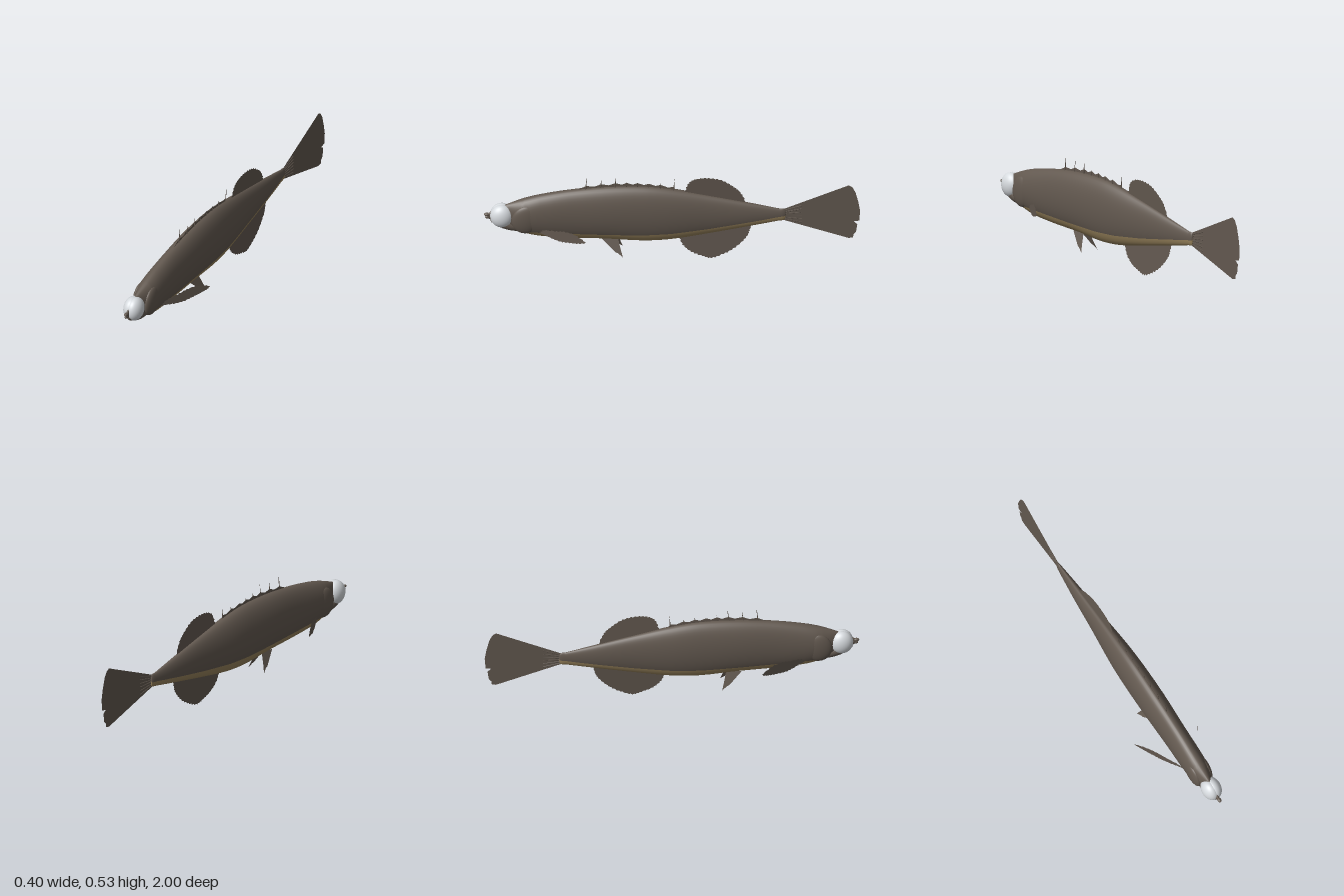
import * as THREE from 'three';

const mat = (name, color, side = THREE.FrontSide) => {
  const m = new THREE.MeshStandardMaterial({ color, side });
  m.name = name;
  return m;
};

// Body stations, nose to tail: z, top y, bottom y, half width, belly colour edge y
const STATIONS = [
  [0.985, 0.29, 0.28, 0.003, 0],
  [0.97, 0.3, 0.26, 0.008, 0],
  [0.93, 0.325, 0.237, 0.012, 0],
  [0.88, 0.35, 0.212, 0.024, 0],
  [0.83, 0.37, 0.19, 0.043, 0],
  [0.78, 0.388, 0.174, 0.057, 0.2],
  [0.7, 0.41, 0.155, 0.061, 0.198],
  [0.55, 0.438, 0.142, 0.062, 0.19],
  [0.35, 0.46, 0.134, 0.067, 0.183],
  [0.15, 0.462, 0.12, 0.066, 0.18],
  [0, 0.443, 0.128, 0.06, 0.186],
  [-0.2, 0.4, 0.163, 0.043, 0.208],
  [-0.4, 0.354, 0.203, 0.029, 0.24],
  [-0.57, 0.314, 0.238, 0.013, 0.268],
  [-0.6, 0.308, 0.246, 0.008, 0.27],
  [-0.605, 0.278, 0.276, 0.001, 0.277],
];

// Elliptical rings with shared normals; lower arc is the belly group
function bodyGeometry() {
  const BELLY = 14, BACK = 34, N = BELLY + BACK, SUB = 4;
  const rows = [];
  for (let i = 0; i < STATIONS.length - 1; i++) {
    const p = [-1, 0, 1, 2].map(d => STATIONS[Math.min(Math.max(i + d, 0), STATIONS.length - 1)]);
    for (let s = 0; s < SUB; s++) {
      const t = s / SUB;
      rows.push(p[1].map((_, k) => {
        if (k === 0 || k === 4) return p[1][k] + (p[2][k] - p[1][k]) * t;
        const slope = (a, b, c) => (c[k] - a[k]) / (c[0] - a[0]) * (p[2][0] - p[1][0]);
        const m1 = slope(p[0], p[1], p[2]), m2 = slope(p[1], p[2], p[3]);
        const t2 = t * t, t3 = t2 * t;
        return (2 * t3 - 3 * t2 + 1) * p[1][k] + (t3 - 2 * t2 + t) * m1
          + (3 * t2 - 2 * t3) * p[2][k] + (t3 - t2) * m2;
      }));
    }
  }
  rows.push(STATIONS.at(-1));
  const pos = [], back = [], belly = [];
  rows.forEach(([z, top, bottom, w, edge], i) => {
    const cy = (top + bottom) / 2, ry = (top - bottom) / 2;
    const phi = Math.max(0.03, Math.acos(THREE.MathUtils.clamp((cy - edge) / ry, -1, 1)));
    for (let j = 0; j < N; j++) {
      const a = j < BELLY ? -phi + 2 * phi * j / BELLY
        : phi + (2 * Math.PI - 2 * phi) * (j - BELLY) / BACK;
      pos.push(w * Math.sin(a), cy - ry * Math.cos(a), z);
      if (i === rows.length - 1) continue;
      const k = (j + 1) % N, p = i * N, q = p + N;
      (j < BELLY ? belly : back).push(p + j, q + j, p + k, q + j, q + k, p + k);
    }
  });
  const g = new THREE.BufferGeometry();
  g.setAttribute('position', new THREE.Float32BufferAttribute(pos, 3));
  g.setIndex([...back, ...belly]);
  g.addGroup(0, back.length, 0);
  g.addGroup(back.length, belly.length, 1);
  g.computeVertexNormals();
  return g;
}

// Flat fin from (u, y) outline points with a toothed edge, placed by a mapping rule
function finGeometry(points, place, teeth = 0, depth = 0.006) {
  let pts = points.map(p => new THREE.Vector2(...p));
  if (teeth) {
    const c = new THREE.Vector2();
    pts.forEach(p => c.addScaledVector(p, 1 / pts.length));
    pts = new THREE.SplineCurve(pts).getPoints(teeth * 2);
    pts.forEach((p, i) => {
      if (i % 2) p.add(c.clone().sub(p).setLength(depth));
    });
  }
  const g = new THREE.ShapeGeometry(new THREE.Shape(pts));
  const a = g.attributes.position;
  for (let i = 0; i < a.count; i++) a.setXYZ(i, ...place(a.getX(i), a.getY(i)));
  g.computeVertexNormals();
  return g;
}

export function createModel() {
  const fish = new THREE.Group();
  fish.name = 'fish';
  const skin = mat('brown skin', 0x62584f);
  const bellySkin = mat('tan belly', 0x98835c);
  const finSkin = mat('brown fin', 0x62584f, THREE.DoubleSide);
  const eyeWhite = mat('pale eye', 0xd6dade);

  const add = (name, geometry, material) => {
    const m = new THREE.Mesh(geometry, material);
    m.name = name;
    fish.add(m);
    return m;
  };
  const ball = (name, material, center, radii, tilt = 0) => {
    const m = add(name, new THREE.SphereGeometry(1, 32, 20), material);
    m.position.set(...center);
    m.scale.set(...radii);
    m.rotation.x = tilt;
  };

  // Body and head
  add('body', bodyGeometry(), [skin, bellySkin]);
  ball('lowerJaw', skin, [0, 0.229, 0.868], [0.034, 0.033, 0.1], -0.3);
  ball('upperLip', skin, [0, 0.288, 0.982], [0.01, 0.009, 0.016]);
  ball('lowerLip', skin, [0, 0.271, 0.978], [0.007, 0.009, 0.014]);
  for (const s of [1, -1]) {
    const side = s > 0 ? 'left' : 'right';
    ball(side + 'Eye', eyeWhite, [s * 0.008, 0.283, 0.903], [0.045, 0.067, 0.062]);
    ball(side + 'GillCover', skin, [s * 0.036, 0.275, 0.775], [0.025, 0.085, 0.075], -0.25);

    // Pectoral fin, swept outward and back
    add(side + 'PectoralFin', finGeometry([
      [0.045, 0.2], [0.06, 0.226], [0.1, 0.247], [0.13, 0.263], [0.165, 0.264], [0.2, 0.238],
      [0.178, 0.215], [0.15, 0.2], [0.12, 0.187], [0.09, 0.187], [0.06, 0.196],
    ], (x, y) => [s * x, y, 0.69 - (x - 0.055) * 1.6], 24, 0.005), finSkin);

    // Pelvic fin, hanging and splayed
    add(side + 'PelvicFin', finGeometry([
      [0.37, 0.14], [0.335, 0.105], [0.3, 0.07], [0.285, 0.064], [0.26, 0.043], [0.272, 0.085], [0.285, 0.14],
    ], (z, y) => [s * (0.025 + (0.125 - y) * 0.38), y, z]), finSkin);
  }

  // Spiny front dorsal fin: a low scalloped web with thin spines [z, tip y]
  const spines = [[0.45, 0.535], [0.372, 0.517], [0.295, 0.533], [0.236, 0.498],
    [0.178, 0.492], [0.118, 0.492], [0.056, 0.49], [-0.016, 0.515]];
  const backY = z => 0.464 - 0.42 * (z - 0.24) ** 2;
  const web = [[0.51, 0.44]];
  spines.forEach(([z], i) => {
    web.push([z + 0.004, backY(z) + 0.022]);
    if (i < spines.length - 1) {
      const m = (z + spines[i + 1][0]) / 2;
      web.push([m, backY(m) + 0.011]);
    }
  });
  web.push([-0.025, 0.42], [0.24, 0.43]);
  add('dorsalWeb', finGeometry(web, (z, y) => [0.002, y, z]), finSkin);
  for (const [z, tip] of spines) {
    const base = backY(z) - 0.01;
    const spine = add('dorsalSpine', new THREE.ConeGeometry(0.004, tip - base, 6), skin);
    spine.position.set(0.004, (tip + base) / 2, z + 0.004);
    spine.rotation.x = -0.1;
  }

  // Soft rear dorsal, anal and tail fins on the midline
  add('rearDorsalFin', finGeometry([
    [-0.065, 0.415], [-0.085, 0.483], [-0.125, 0.512], [-0.19, 0.52], [-0.265, 0.505],
    [-0.33, 0.46], [-0.37, 0.415], [-0.38, 0.35], [-0.22, 0.37],
  ], (z, y) => [0.004 + (y - 0.42) * 0.05, y, z], 26), finSkin);
  add('analFin', finGeometry([
    [-0.035, 0.145], [-0.055, 0.09], [-0.1, 0.045], [-0.16, 0.018], [-0.21, 0.004], [-0.275, 0.028],
    [-0.34, 0.07], [-0.395, 0.13], [-0.415, 0.175], [-0.405, 0.215], [-0.22, 0.19],
  ], (z, y) => [0.002 + (0.15 - y) * 0.06, y, z], 30), finSkin);
  add('tailFin', finGeometry([
    [-0.58, 0.305], [-0.94, 0.464], [-0.958, 0.452], [-0.975, 0.42], [-0.99, 0.36], [-1, 0.3],
    [-0.995, 0.237], [-0.965, 0.232], [-0.985, 0.215], [-0.978, 0.165], [-0.965, 0.15],
    [-0.962, 0.13], [-0.94, 0.125], [-0.58, 0.245],
  ], (z, y) => [(-0.58 - z) * 0.015, y, z]), finSkin);

  // Raised rays fanning over the tail root
  for (let i = 0; i < 6; i++) {
    const f = i / 5;
    const path = new THREE.LineCurve3(
      new THREE.Vector3(0, 0.25 + f * 0.05, -0.585),
      new THREE.Vector3(0.002, 0.228 + f * 0.105, -0.69));
    add('tailRay', new THREE.TubeGeometry(path, 1, 0.003, 5), skin);
  }
  return fish;
}
